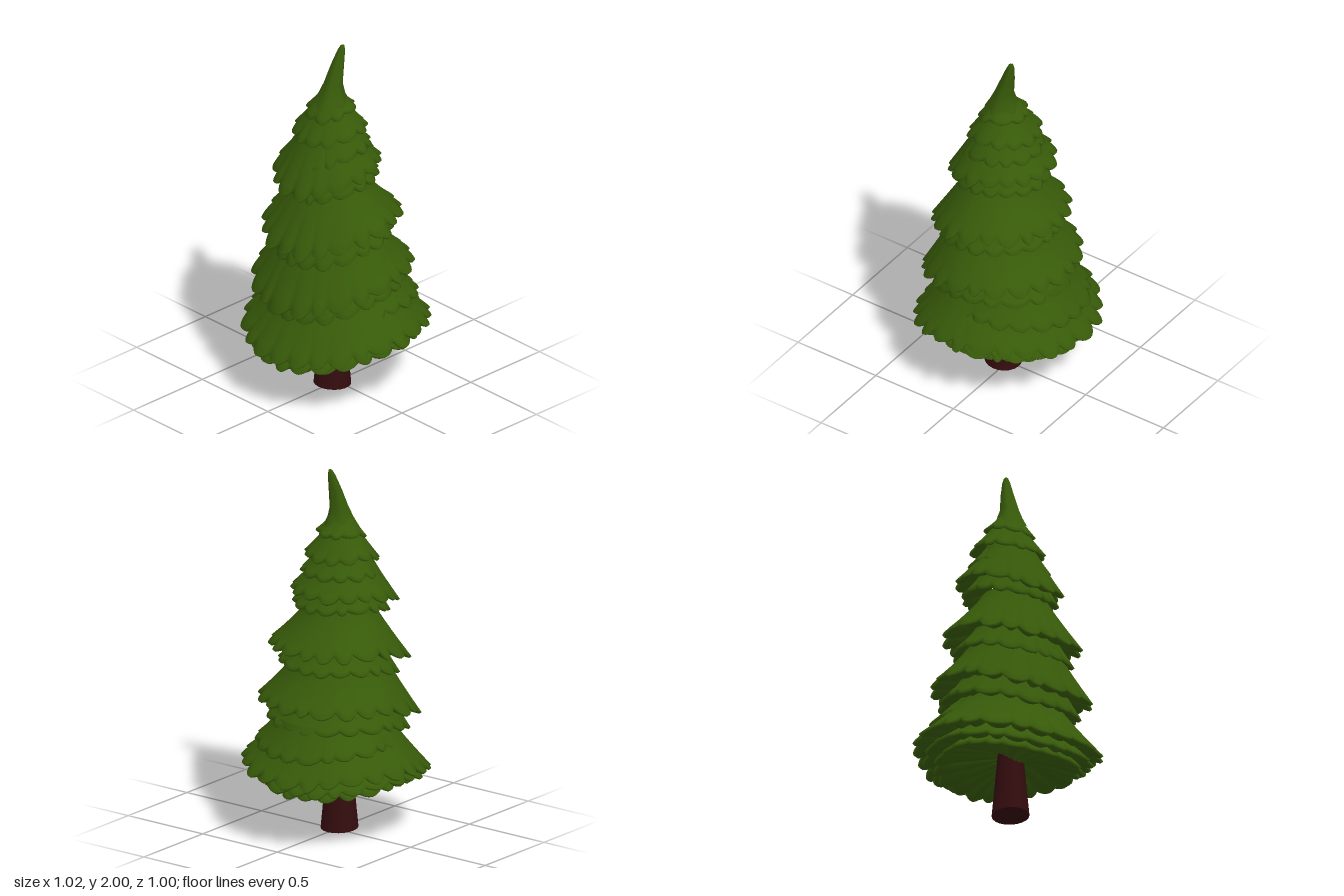
import * as THREE from 'three';

const TAU = Math.PI * 2;

// small seeded generator so that the petals vary a little
function makeRandom(seed) {
  let s = seed;
  return () => ((s = (s * 16807) % 2147483647) / 2147483647);
}

// join closed rings (arrays of [x, y, z]) running from top to bottom
function skinRings(rings, creases = []) {
  const n = rings[0].length, pos = [], idx = [];
  rings.forEach((ring, r) => {
    ring.forEach(p => pos.push(...p));
    if (r === rings.length - 1 || creases.includes(r)) return;
    for (let i = 0; i < n; i++) {
      const a = r * n + i, b = r * n + (i + 1) % n;
      idx.push(a, a + n, b, b, a + n, b + n);
    }
  });
  const g = new THREE.BufferGeometry();
  g.setAttribute('position', new THREE.Float32BufferAttribute(pos, 3));
  g.setIndex(idx);
  g.computeVertexNormals();
  return g;
}

// one skirt of drooping needles with a scalloped hem and a closed underside
function skirtGeometry({ top, hem, c, tilt, n, inner }, seed) {
  const rand = makeRandom(seed * 7919 + 13), per = 8, rows = 7;
  const [rTop, yTop] = top, [rHem, yHem] = hem;
  const phase = rand();
  const edges = Array.from({ length: n }, (_, k) => (k + phase + 0.5 * (rand() - 0.5)) / n);
  edges.push(edges[0] + 1);
  const cols = [];
  for (let k = 0; k < n; k++) {
    const reach = 0.65 + 0.45 * rand();
    for (let j = 0; j < per; j++) {
      const u = j / per;
      const s = Math.pow(Math.sin(Math.PI * u), 0.8);
      cols.push({ a: (edges[k] + (edges[k + 1] - edges[k]) * u) * TAU, s, len: 0.88 + 0.13 * s * reach });
    }
  }
  // the skirt leans with tilt, and its sides ride a little higher
  const place = (col, r, y, t) => {
    const x = Math.sin(col.a) * r, z = Math.cos(col.a) * r;
    return [c[0] + x, y + t * (tilt * z + 0.14 * rHem * Math.sin(col.a) ** 2), c[1] + z];
  };
  const surface = (col, t) => {
    const q = t * col.len;
    const r = rTop + (rHem - rTop) * Math.pow(q, 1.2) - 0.01 * (1 - col.s) * t ** 3;
    return [r, yTop + (yHem - yTop) * q];
  };
  const rings = [];
  for (let i = 0; i <= rows; i++) {
    const t = i / rows;
    rings.push(cols.map(col => place(col, ...surface(col, t), t)));
  }
  // rounded lip, then the pleated underside
  const lip = cols.map(col => {
    const [r, y] = surface(col, 1);
    return place(col, r - 0.012, y - 0.01, 1);
  });
  rings.push(lip, lip);
  rings.push(cols.map(col => {
    const [r, y] = surface(col, 1);
    return place(col, r * 0.75, y + 0.005 + 0.02 * (1 - col.s), 1);
  }));
  rings.push(cols.map(col => place(col, inner ?? rHem * 0.45, yHem + 0.06, 1)));
  return skinRings(rings, [rows + 1]);
}

// top: [radius, y], hem: tip [radius, y], c: centre [x, z], n: petals
const skirts = [
  { top: [0.05, 1.74], hem: [0.14, 1.62], c: [-0.01, 0.03], tilt: -0.15, n: 8 },
  { top: [0.08, 1.68], hem: [0.205, 1.495], c: [-0.015, 0.03], tilt: -0.1, n: 12 },
  { top: [0.12, 1.56], hem: [0.22, 1.395], c: [-0.01, 0.035], tilt: -0.15, n: 13 },
  { top: [0.135, 1.52], hem: [0.295, 1.27], c: [-0.02, 0.05], tilt: -0.2, n: 16 },
  { top: [0.17, 1.38], hem: [0.26, 1.215], c: [-0.005, 0.035], tilt: -0.15, n: 16 },
  { top: [0.17, 1.26], hem: [0.375, 0.96], c: [0.008, 0.04], tilt: -0.17, n: 19 },
  { top: [0.21, 1.06], hem: [0.325, 0.87], c: [0.01, 0.035], tilt: -0.17, n: 18 },
  { top: [0.245, 0.95], hem: [0.432, 0.65], c: [0.005, 0.035], tilt: -0.18, n: 21 },
  { top: [0.27, 0.76], hem: [0.38, 0.565], c: [0, 0.02], tilt: -0.15, n: 19 },
  { top: [0.26, 0.66], hem: [0.385, 0.47], c: [0, -0.075], tilt: -0.04, n: 20 },
  { top: [0.285, 0.62], hem: [0.507, 0.325], c: [0, 0], tilt: -0.07, n: 24 },
  { top: [0.3, 0.46], hem: [0.452, 0.275], c: [-0.003, 0.01], tilt: -0.06, n: 22 },
  { top: [0.27, 0.42], hem: [0.395, 0.245], c: [0, 0.01], tilt: -0.05, n: 21, inner: 0.04 },
];

// crown sections: [y, centre x, centre z, radius]
const crown = [
  [2.0, 0.015, -0.031, 0.001], [1.992, 0.014, -0.03, 0.011], [1.96, 0.011, -0.023, 0.021],
  [1.88, 0.004, -0.003, 0.035], [1.78, 0, 0.023, 0.05], [1.72, -0.003, 0.03, 0.07], [1.66, -0.005, 0.032, 0.1],
];

export function createModel() {
  const model = new THREE.Group();
  model.name = 'pineTree';
  const needleGreen = new THREE.MeshStandardMaterial({ color: 0x375a09 });
  needleGreen.name = 'needleGreen';
  const barkBrown = new THREE.MeshStandardMaterial({ color: 0x340c0e });
  barkBrown.name = 'barkBrown';
  const add = (name, geometry, material) => {
    const mesh = new THREE.Mesh(geometry, material);
    mesh.name = name;
    model.add(mesh);
    return mesh;
  };

  // trunk, flared at the foot with a slightly slanted base
  const trunk = new THREE.CylinderGeometry(0.062, 0.1, 0.42, 20, 4);
  const p = trunk.attributes.position;
  for (let i = 0; i < p.count; i++) {
    if (p.getY(i) < -0.2) p.setY(i, p.getY(i) + 0.006 + p.getZ(i) * 0.06);
  }
  trunk.computeVertexNormals();
  add('trunk', trunk, barkBrown).position.set(0, 0.21, 0.03);

  // foliage from the top down
  const crownRings = crown.map(([y, x, z, r]) =>
    Array.from({ length: 24 }, (_, i) => {
      const a = i / 24 * TAU, fold = 1 + 0.05 * Math.sin(a * 5);
      return [x + Math.sin(a) * r * fold, y, z + Math.cos(a) * r * fold];
    }));
  add('crown', skinRings(crownRings), needleGreen);
  skirts.forEach((skirt, i) => add('branchSkirt' + (i + 1), skirtGeometry(skirt, i + 1), needleGreen));
  return model;
}
